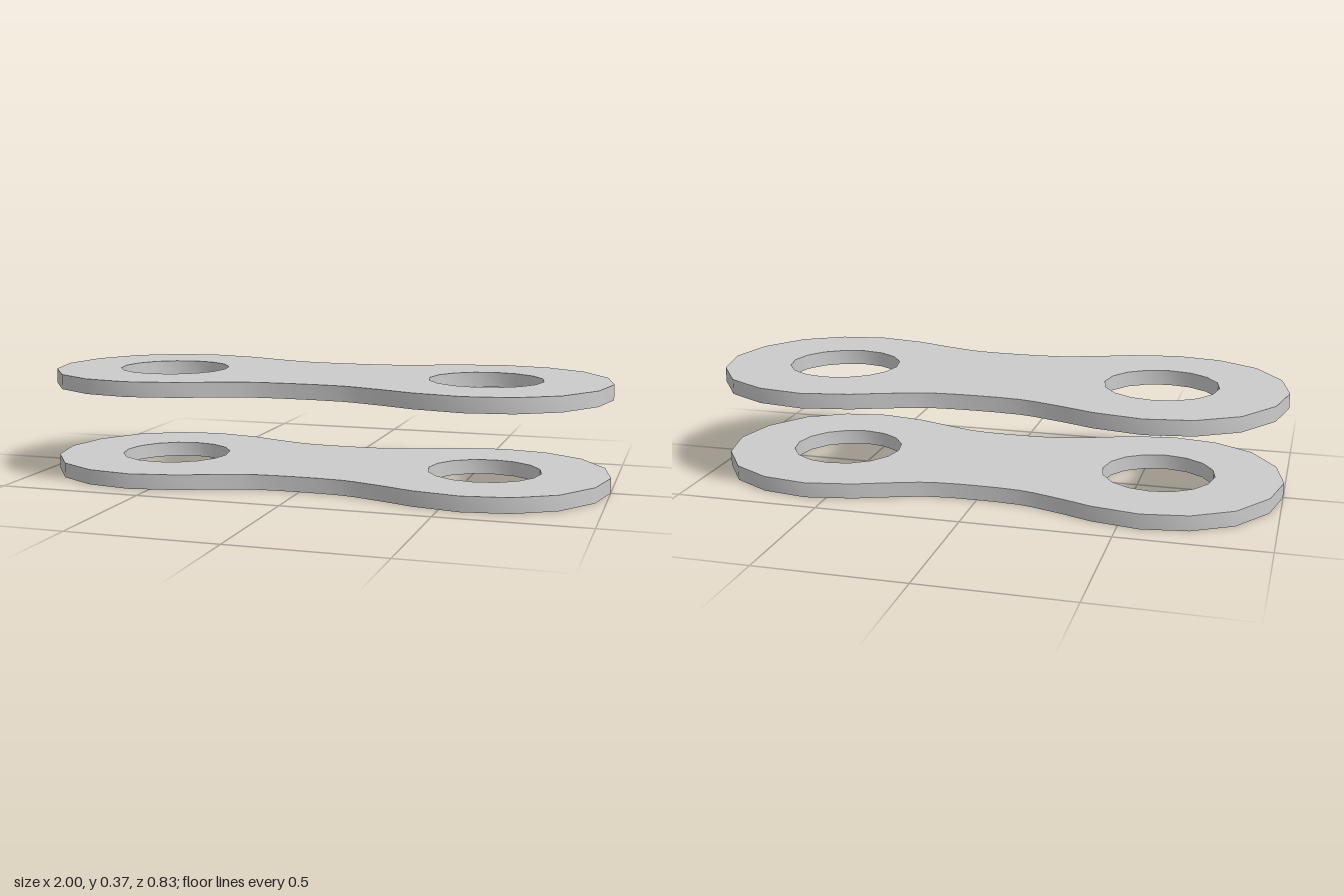
import * as THREE from 'three';
import { toCreasedNormals } from 'three/addons/utils/BufferGeometryUtils.js';

const THICKNESS = 0.052;
const HOLE_X = 0.573;
const HOLE_RADIUS = 0.195;

// One quarter of the waisted outline, from the end tip to the middle.
const QUARTER = [
  [1, 0], [0.965, 0.165], [0.867, 0.31], [0.73, 0.39], [0.573, 0.415],
  [0.41, 0.385], [0.31, 0.347], [0.2, 0.31], [0.15, 0.299], [0.07, 0.293], [0, 0.292],
];

// Mirror the quarter into the full counter-clockwise outline.
function outline() {
  const half = [...QUARTER, ...QUARTER.slice(0, -1).reverse().map(([x, y]) => [-x, y])];
  const full = [...half, ...half.slice(1, -1).reverse().map(([x, y]) => [x, -y])];
  return full.map(([x, y]) => new THREE.Vector2(x, y));
}

// Sixteen-sided pin hole.
function pinHole(cx) {
  const points = [];
  for (let i = 0; i < 16; i++) {
    const a = -i * Math.PI / 8;
    points.push(new THREE.Vector2(cx + HOLE_RADIUS * Math.cos(a), HOLE_RADIUS * Math.sin(a)));
  }
  return new THREE.Path(points);
}

export function createModel() {
  const group = new THREE.Group();
  group.name = 'chainLink';
  const material = new THREE.MeshStandardMaterial({ color: 0xcccccc });

  const shape = new THREE.Shape(outline());
  shape.holes.push(pinHole(HOLE_X), pinHole(-HOLE_X));
  const extruded = new THREE.ExtrudeGeometry(shape, { depth: THICKNESS, bevelEnabled: false });
  extruded.rotateX(-Math.PI / 2);
  const geometry = toCreasedNormals(extruded, 0.6);

  // Two identical side plates, one above the other.
  for (const [name, y] of [['lowerPlate', 0], ['upperPlate', 0.315]]) {
    const plate = new THREE.Mesh(geometry, material);
    plate.name = name;
    plate.position.y = y;
    group.add(plate);
  }
  return group;
}
